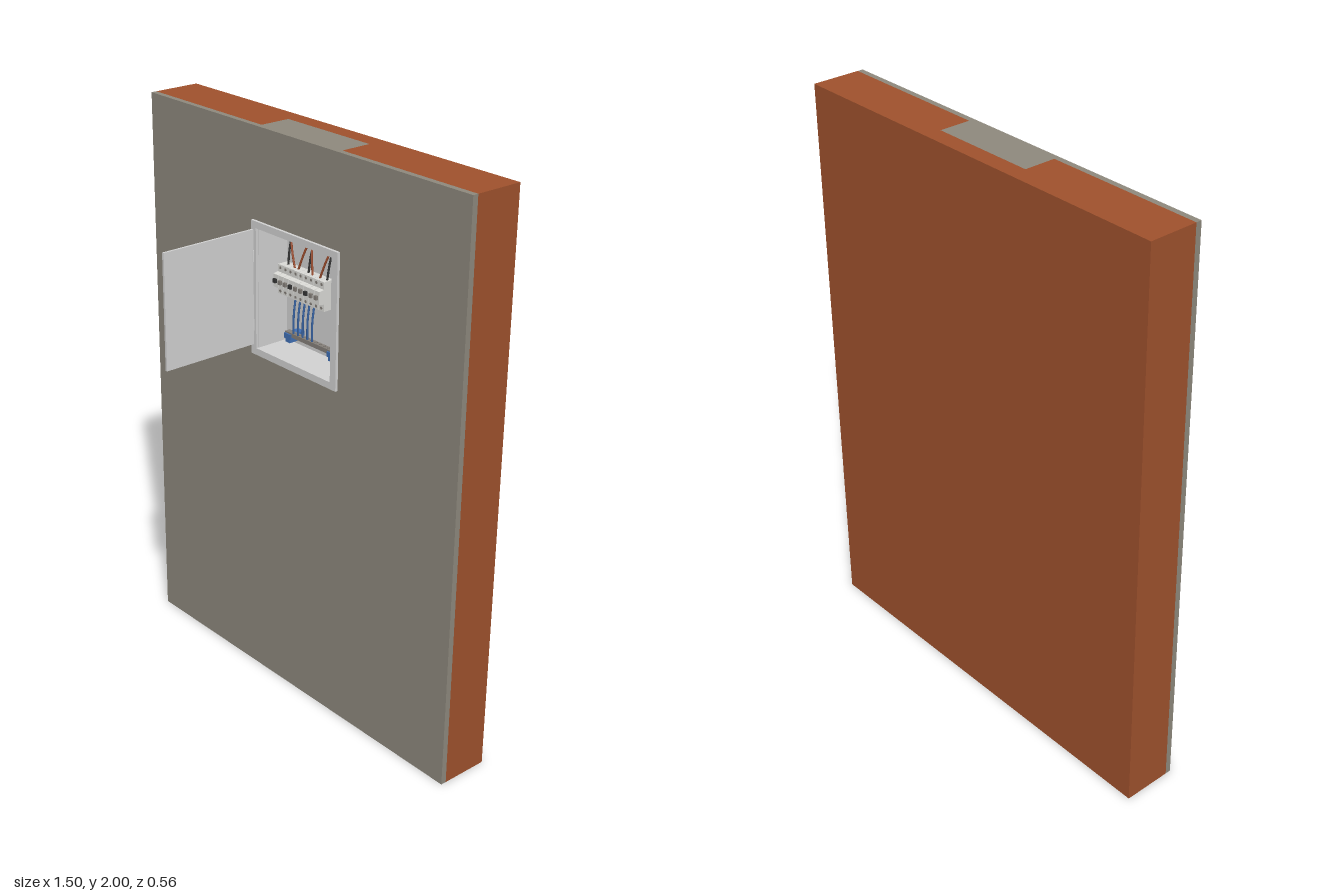
import * as THREE from 'three';

const mat = (name, color, side = THREE.FrontSide) => {
  const m = new THREE.MeshStandardMaterial({ color, side });
  m.name = name;
  return m;
};

export function createModel() {
  const root = new THREE.Group();
  root.name = 'wallWithDistributionBox';

  const brick = mat('brick', 0xa0522d);
  const plaster = mat('plaster', 0x8f8a7e);
  const enclosure = mat('enclosureGrey', 0xd3d3d3);
  const breakerGrey = mat('breakerGrey', 0xdcdcd8);
  const metal = mat('railMetal', 0x85807a);
  const dark = mat('darkPlastic', 0x333333);
  const blue = mat('neutralBlue', 0x3f6fb5);
  const copper = mat('phaseBrown', 0x9a4a2a);

  const add = (parent, name, geo, material) => {
    const m = new THREE.Mesh(geo, material);
    m.name = name;
    parent.add(m);
    return m;
  };
  // Box given by its limits along each axis
  const block = (parent, name, material, x0, x1, y0, y1, z0, z1) => {
    const m = add(parent, name, new THREE.BoxGeometry(x1 - x0, y1 - y0, z1 - z0), material);
    m.position.set((x0 + x1) / 2, (y0 + y1) / 2, (z0 + z1) / 2);
    return m;
  };
  const group = (name) => {
    const g = new THREE.Group();
    g.name = name;
    root.add(g);
    return g;
  };
  // Rectangular plate with a rectangular opening, extruded from z0 to z1
  const plate = (parent, name, material, o, h, z0, z1) => {
    const rect = (P, [x0, x1, y0, y1]) => {
      const p = new P();
      p.moveTo(x0, y0); p.lineTo(x1, y0); p.lineTo(x1, y1); p.lineTo(x0, y1); p.closePath();
      return p;
    };
    const s = rect(THREE.Shape, o);
    s.holes.push(rect(THREE.Path, h));
    const geo = new THREE.ExtrudeGeometry(s, { depth: z1 - z0, bevelEnabled: false });
    add(parent, name, geo, material).position.z = z0;
  };

  // Masonry with a recess for the enclosure and a chase above it
  const wall = group('wall');
  block(wall, 'brickRight', brick, -0.75, -0.19, 0, 2, -0.28, -0.11);
  block(wall, 'brickLeft', brick, 0.19, 0.75, 0, 2, -0.28, -0.11);
  block(wall, 'brickBelowBox', brick, -0.19, 0.19, 0, 1.235, -0.28, -0.11);
  block(wall, 'brickBehindBox', brick, -0.19, 0.19, 1.235, 2, -0.28, -0.22);
  block(wall, 'chaseFilling', plaster, -0.19, 0.19, 1.68, 2, -0.22, -0.11);
  plate(wall, 'plasterFace', plaster, [-0.75, 0.75, 0, 2], [-0.19, 0.19, 1.235, 1.68], -0.11, -0.09);

  // Recessed enclosure, flange and open door
  const box = group('enclosure');
  block(box, 'backPanel', enclosure, -0.19, 0.19, 1.235, 1.68, -0.22, -0.212);
  plate(box, 'sideWalls', enclosure, [-0.19, 0.19, 1.235, 1.68], [-0.183, 0.183, 1.249, 1.667], -0.212, -0.09);
  plate(box, 'flange', enclosure, [-0.21, 0.21, 1.225, 1.69], [-0.185, 0.183, 1.249, 1.667], -0.09, -0.08);
  block(box, 'door', enclosure, -0.205, -0.197, 1.26, 1.66, -0.08, 0.28);
  for (const y of [1.33, 1.57]) {
    const hinge = add(box, 'hinge', new THREE.CylinderGeometry(0.004, 0.004, 0.04, 10), enclosure);
    hinge.position.set(-0.198, y, -0.08);
  }

  // Mounting rail: shallow channel with turned-out lips
  const gear = group('switchgear');
  block(gear, 'railWeb', metal, -0.165, 0.16, 1.484, 1.512, -0.186, -0.181);
  for (const [lip, flange] of [[1.512, 1.509], [1.476, 1.484]]) {
    block(gear, 'railLip', metal, -0.165, 0.16, lip, lip + 0.008, -0.172, -0.168);
    block(gear, 'railFlange', metal, -0.165, 0.16, flange, flange + 0.003, -0.186, -0.168);
  }
  for (const x of [-0.15, 0.14]) block(gear, 'railFoot', metal, x, x + 0.012, 1.488, 1.508, -0.212, -0.186);

  // Circuit breakers with stepped noses and toggles
  const profile = new THREE.Shape([
    [0, -0.05], [0.04, -0.05], [0.04, -0.025], [0.06, -0.022],
    [0.06, 0.022], [0.04, 0.025], [0.04, 0.05], [0, 0.05],
  ].map(([x, y]) => new THREE.Vector2(x, y)));
  const count = 9, pitch = 0.0253;
  const body = new THREE.ExtrudeGeometry(profile, { depth: pitch - 0.0015, bevelEnabled: false });
  body.rotateY(-Math.PI / 2);
  body.translate(pitch - 0.0015, 0, 0);
  for (let i = 0; i < count; i++) {
    const x = -0.13 + i * pitch;
    add(gear, 'breaker', body, breakerGrey).position.set(x, 1.5, -0.168);
    block(gear, 'toggle', i % 3 ? metal : dark, x + 0.006, x + 0.018, 1.494, 1.508, -0.108, -0.1);
    for (const y of [1.46, 1.54]) {
      const screw = add(gear, 'terminalScrew', new THREE.CylinderGeometry(0.005, 0.005, 0.002, 10), metal);
      screw.rotation.x = Math.PI / 2;
      screw.position.set(x + 0.012, y, -0.128);
    }
  }

  // Neutral bar on two blue insulating feet
  block(gear, 'neutralBar', metal, -0.125, 0.12, 1.296, 1.311, -0.175, -0.155);
  for (const x of [-0.125, 0.088]) {
    block(gear, 'barFoot', blue, x, x + 0.032, 1.288, 1.306, -0.212, -0.15);
    block(gear, 'barFootBase', blue, x + 0.005, x + 0.027, 1.275, 1.288, -0.212, -0.152);
  }
  for (let i = 0; i < 9; i++) {
    const s = add(gear, 'barScrew', new THREE.CylinderGeometry(0.005, 0.005, 0.004, 8), metal);
    s.position.set(-0.08 + i * 0.02, 1.312, -0.165);
  }

  // Wiring, slightly bowed between its end points
  const wires = group('wiring');
  const wire = (name, material, x0, y0, z0, x1, y1, z1) => {
    const curve = new THREE.CatmullRomCurve3([
      new THREE.Vector3(x0, y0, z0),
      new THREE.Vector3((x0 + x1) / 2, (y0 + y1) / 2, (z0 + z1) / 2 + 0.004),
      new THREE.Vector3(x1, y1, z1),
    ]);
    add(wires, name, new THREE.TubeGeometry(curve, 8, 0.0035, 8, false), material);
  };
  for (let i = 0; i < 5; i++) {
    wire('neutralWire', blue, -0.06 + i * 0.023, 1.455, -0.145, -0.088 + i * 0.023, 1.31, -0.16);
  }
  for (const [top, bottom] of [[-0.11, -0.065], [-0.008, -0.05], [-0.003, 0.022], [0.098, 0.055]]) {
    wire('phaseWire', copper, top, 1.667, -0.165, bottom, 1.545, -0.145);
  }
  for (const [top, bottom] of [[-0.106, -0.105], [0.002, -0.005], [0.094, 0.085]]) {
    wire('switchWire', dark, top, 1.667, -0.172, bottom, 1.545, -0.15);
  }
  wire('earthWire', dark, 0.147, 1.66, -0.16, 0.108, 1.31, -0.16);

  return root;
}
